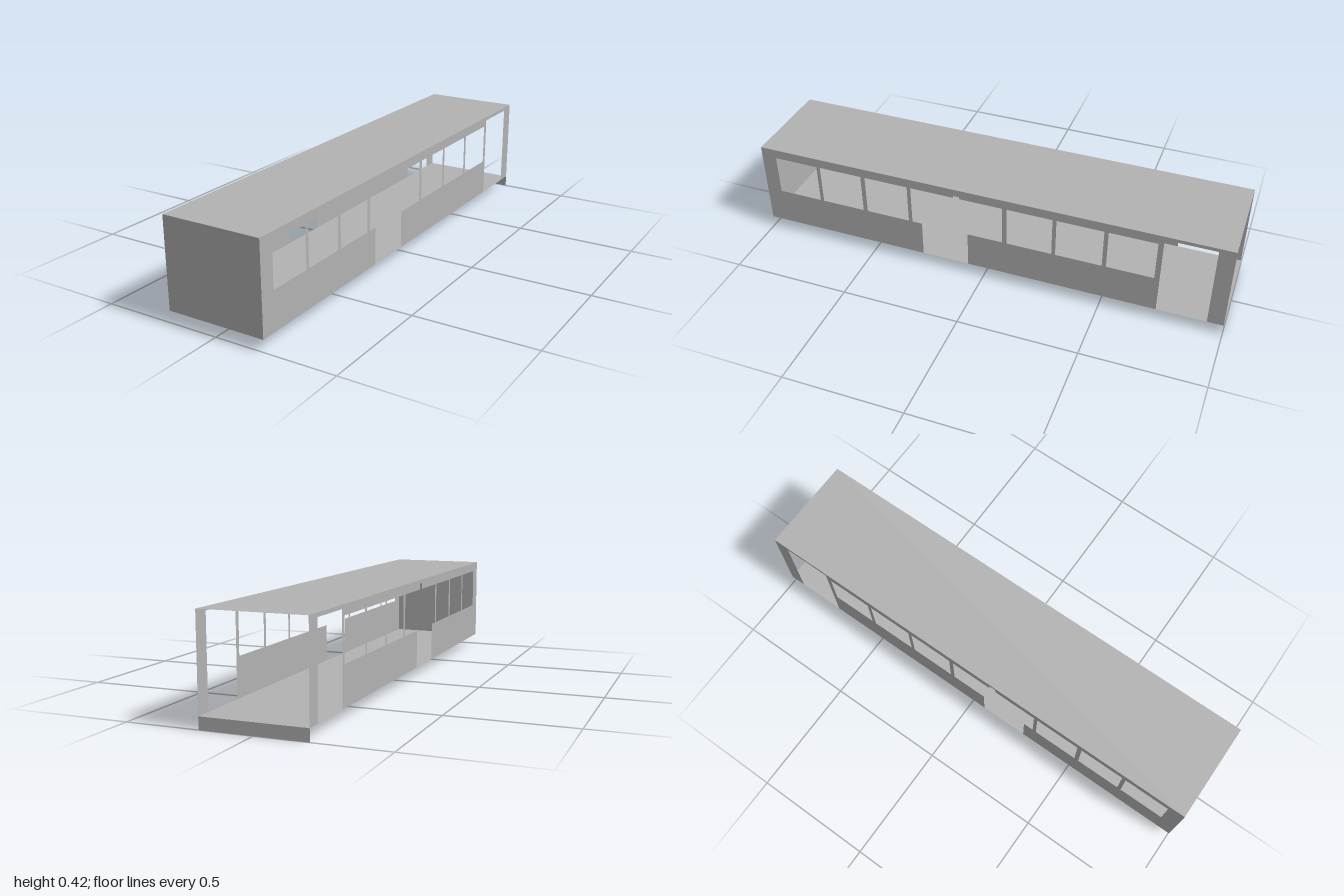
import * as THREE from 'three';

const W = 0.208, FLOOR = 0.048, ROOF = 0.416;
const SILL = 0.205, HEAD = 0.376, DOOR_TOP = 0.401;

// Side wall drawn with u = model z and v = model y
function sideWallGeometry() {
  const wall = new THREE.Shape([
    [-1, FLOOR],
    // rear doorway
    [-0.934, FLOOR], [-0.934, DOOR_TOP], [-0.731, DOOR_TOP], [-0.731, FLOOR],
    // middle doorway, widening at sill height, with a small notch in the header
    [0.067, FLOOR], [0.067, SILL], [-0.083, SILL], [-0.083, HEAD],
    [0.099, HEAD], [0.099, DOOR_TOP], [0.126, DOOR_TOP], [0.126, HEAD],
    [0.313, HEAD], [0.313, SILL], [0.27, SILL], [0.27, FLOOR],
    [1, FLOOR], [1, ROOF], [-1, ROOF],
  ].map(([u, v]) => new THREE.Vector2(u, v)));

  // window openings
  const windows = [
    [-0.71, -0.517], [-0.5, -0.308], [-0.292, -0.102],
    [0.329, 0.519], [0.538, 0.726], [0.742, 0.934],
  ];
  for (const [a, b] of windows) {
    wall.holes.push(new THREE.Path([
      new THREE.Vector2(a, SILL), new THREE.Vector2(a, HEAD),
      new THREE.Vector2(b, HEAD), new THREE.Vector2(b, SILL),
    ]));
  }
  return new THREE.ShapeGeometry(wall).rotateY(-Math.PI / 2);
}

export function createModel() {
  const group = new THREE.Group();
  const grey = new THREE.MeshStandardMaterial({ color: 0xb2b2b2, side: THREE.DoubleSide });
  grey.name = 'bodyGrey';

  const add = (name, geometry, x, y, z) => {
    const mesh = new THREE.Mesh(geometry, grey);
    mesh.name = name;
    mesh.position.set(x, y, z);
    group.add(mesh);
  };

  // Side walls; the left one is mirrored so that it faces outward
  add('rightWall', sideWallGeometry(), -W, 0, 0);
  const left = sideWallGeometry().scale(-1, 1, 1);
  const index = left.index.array;
  for (let i = 0; i < index.length; i += 3) {
    [index[i + 1], index[i + 2]] = [index[i + 2], index[i + 1]];
  }
  left.computeVertexNormals();
  add('leftWall', left, W, 0, 0);

  // Roof and floor sheets
  add('roof', new THREE.PlaneGeometry(2 * W, 2).rotateX(-Math.PI / 2), 0, ROOF, 0);
  add('floor', new THREE.PlaneGeometry(2 * W, 2).rotateX(Math.PI / 2), 0, FLOOR, 0);

  // Closed front end; the rear end is open with a skirt hanging below the floor
  add('frontWall', new THREE.PlaneGeometry(2 * W, ROOF - FLOOR), 0, (ROOF + FLOOR) / 2, 1);
  add('rearSkirt', new THREE.PlaneGeometry(2 * W, FLOOR).rotateY(Math.PI), 0, FLOOR / 2, -1);

  return group;
}
